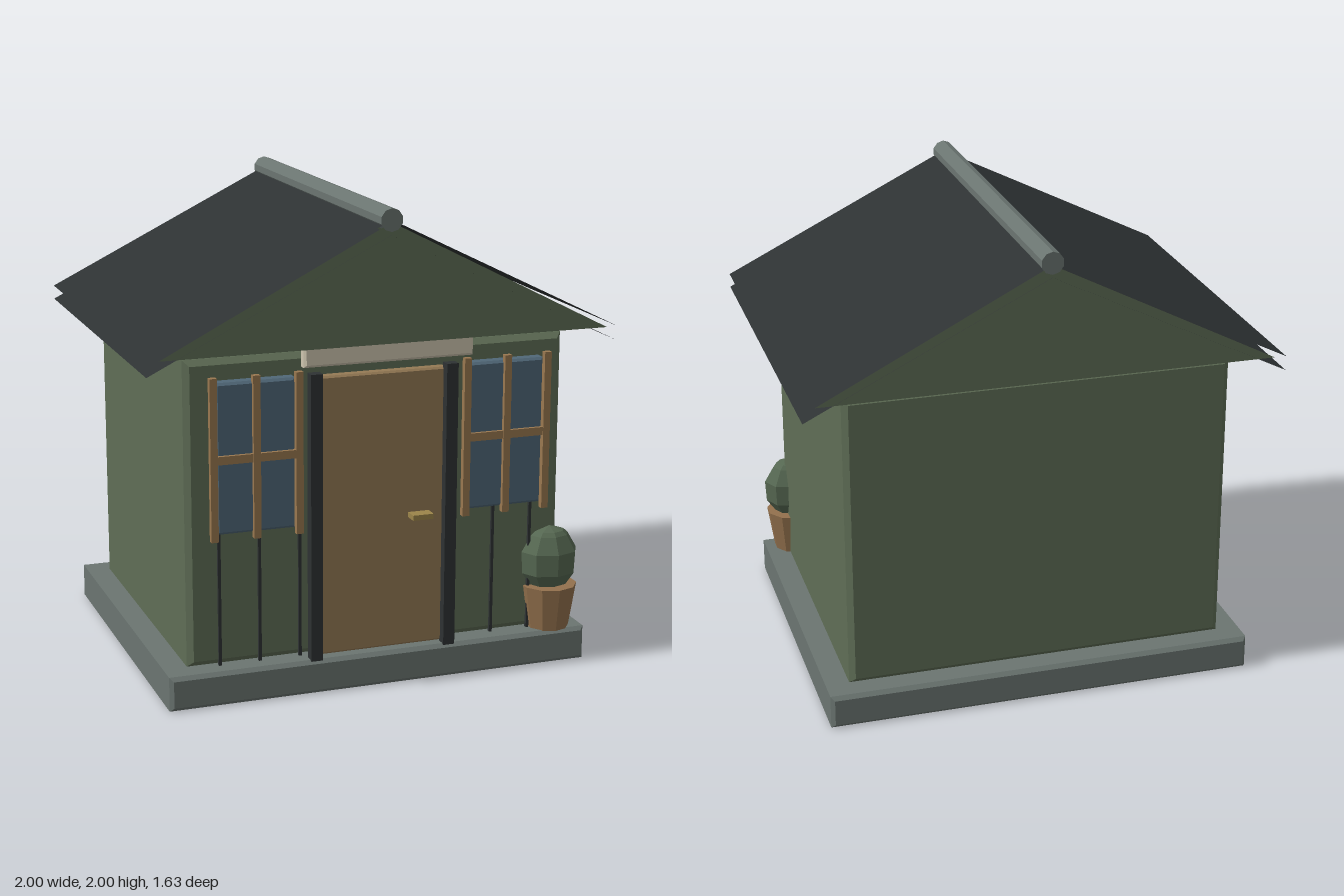
import * as THREE from 'three';

const paint = (color) => new THREE.MeshStandardMaterial({ color, flatShading: true, side: THREE.DoubleSide });

export function createModel() {
  const house = new THREE.Group();
  const green = paint(0x5f6e56), slate = paint(0x2e3233), stone = paint(0x6b7571);
  const wood = paint(0x957a55), trim = paint(0x9a7850), glass = paint(0x506878);
  const clay = paint(0x93714d), leaf = paint(0x566852), brass = paint(0x9c854a), cream = paint(0xcfc6b0);

  function add(name, geometry, material, x = 0, y = 0, z = 0, parent = house) {
    const mesh = new THREE.Mesh(geometry, material);
    mesh.name = name;
    mesh.position.set(x, y, z);
    parent.add(mesh);
    return mesh;
  }

  // Box given by its limits, with optional chamfered edges
  function block(name, material, [x0, x1], [y0, y1], [z0, z1], c = 0, parent = house) {
    const w = x1 - x0, h = y1 - y0, d = z1 - z0;
    let geometry;
    if (c > 0) {
      const a = w / 2 - c, b = h / 2 - c;
      const shape = new THREE.Shape([[-a, -b], [a, -b], [a, b], [-a, b]].map((p) => new THREE.Vector2(...p)));
      geometry = new THREE.ExtrudeGeometry(shape, { depth: d - 2 * c, bevelSize: c, bevelThickness: c, bevelSegments: 1 });
      geometry.translate(0, 0, c - d / 2);
    } else geometry = new THREE.BoxGeometry(w, h, d);
    return add(name, geometry, material, (x0 + x1) / 2, (y0 + y1) / 2, (z0 + z1) / 2, parent);
  }

  // Plinth and walls
  block('plinth', stone, [-0.915, 0.915], [0, 0.145], [-0.765, 0.765], 0.016);
  block('walls', green, [-0.815, 0.815], [0.145, 1.42], [-0.678, 0.678], 0.024);

  // Gables: thin triangles at both ends of the open roof
  const gable = new THREE.Shape();
  gable.moveTo(-0.95, 1.46).lineTo(0.95, 1.46).lineTo(0, 1.945).closePath();
  add('frontGable', new THREE.ShapeGeometry(gable), green, 0, 0, 0.815);
  add('backGable', new THREE.ShapeGeometry(gable), green, 0, 0, -0.815).rotation.y = Math.PI;

  // Roof: an upper and a lower sheet on each side
  const rise = 0.495, slopeLength = Math.hypot(1, rise);
  for (const side of [-1, 1]) {
    for (const [name, eave] of [['upperRoofSheet', 1.46], ['lowerRoofSheet', 1.4]]) {
      const sheet = new THREE.PlaneGeometry(slopeLength, 1.634).rotateX(-Math.PI / 2);
      add(name, sheet, slate, side * 0.5, eave + rise / 2, 0).rotation.z = -side * Math.atan(rise);
    }
  }
  const ridge = new THREE.CylinderGeometry(0.047, 0.047, 1.634, 10).rotateX(Math.PI / 2);
  add('ridgeCap', ridge, stone, 0, 1.954, 0);

  // Door with posts and handle
  block('door', wood, [-0.275, 0.275], [0.15, 1.325], [0.67, 0.722], 0.008);
  for (const s of [-1, 1]) {
    const x = s * 0.291;
    block('doorPost', slate, [x - 0.025, x + 0.025], [0.14, 1.345], [0.715, 0.76]);
  }
  block('doorHandle', brass, [0.118, 0.208], [0.703, 0.725], [0.722, 0.778]);

  // Windows and the thin battens behind them
  for (const s of [-1, 1]) {
    const windowGroup = new THREE.Group();
    windowGroup.name = s > 0 ? 'leftWindow' : 'rightWindow';
    windowGroup.position.x = s * 0.539;
    house.add(windowGroup);
    block('glass', glass, [-0.165, 0.165], [0.715, 1.335], [0.675, 0.737], 0.01, windowGroup);
    for (const x of [-0.178, 0, 0.178]) {
      block('mullion', trim, [x - 0.015, x + 0.015], [0.692, 1.36], [0.73, 0.756], 0, windowGroup);
    }
    block('crossbar', trim, [-0.193, 0.193], [1.008, 1.042], [0.73, 0.752], 0, windowGroup);
    for (const x of [0.34, 0.512, 0.682]) {
      const c = s * x;
      block('batten', slate, [c - 0.006, c + 0.006], [0.145, 1.32], [0.675, 0.69]);
    }
  }

  // Plain board above the door
  block('signBoard', cream, [-0.36, 0.36], [1.385, 1.54], [0.757, 0.807], 0.01);

  // Potted shrub
  const pot = new THREE.CylinderGeometry(0.122, 0.092, 0.19, 10);
  add('pot', pot, clay, 0.78, 0.237, 0.677);
  const profile = [[0, 0.31], [0.08, 0.325], [0.122, 0.385], [0.127, 0.48], [0.085, 0.55], [0.065, 0.567], [0, 0.587]];
  const shrub = new THREE.LatheGeometry(profile.map((p) => new THREE.Vector2(...p)), 8);
  add('shrub', shrub, leaf, 0.78, 0, 0.677).scale.z = 0.8;

  return house;
}
